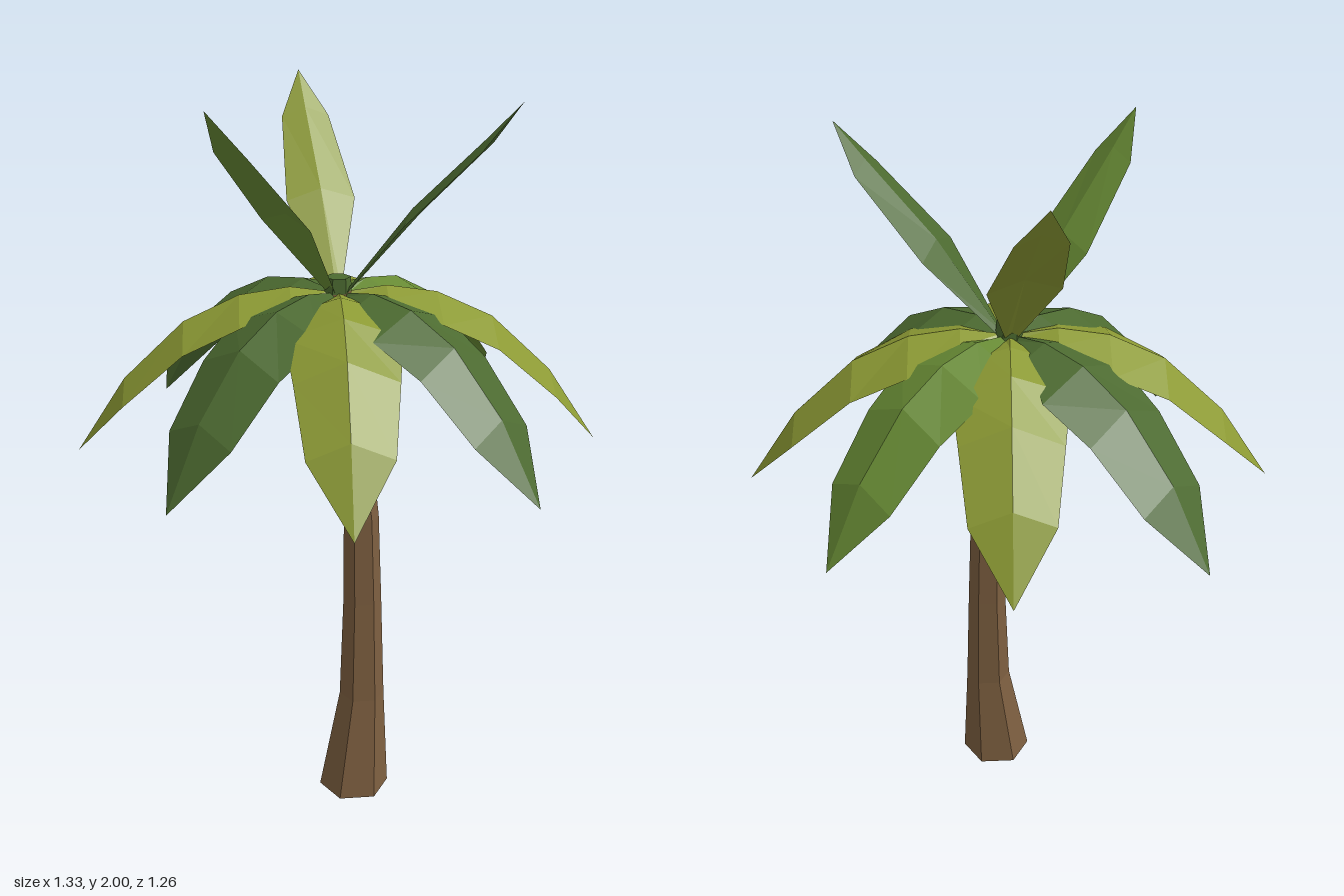
import * as THREE from 'three';

const YELLOW = 0x8c9a34, MID = 0x678a34, GREEN = 0x4c6a30;
const CROWN = { x: 0.01, z: 0.005 };

// Trunk sections from bottom to top: [y, centre x, centre z, radius]
const TRUNK = [
  [0, 0.1, 0.013, 0.1],
  [0.3, 0.102, -0.013, 0.064],
  [0.6, 0.093, -0.02, 0.054],
  [0.85, 0.083, -0.022, 0.049],
  [1.2, 0.05, -0.01, 0.041],
  [1.49, 0.01, 0.005, 0.036],
];

// Leaf stations: [fraction of reach, ridge y, edge y, half width]
const DROOPING = [
  [0.03, 1.485, 1.475, 0.012],
  [0.18, 1.5, 1.48, 0.065],
  [0.37, 1.48, 1.43, 0.15],
  [0.58, 1.41, 1.355, 0.133],
  [0.81, 1.255, 1.21, 0.11],
  [1, 1.05, 1.05, 0],
];
const UPRIGHT = [
  [0.05, 1.49, 1.48, 0.015],
  [0.42, 1.72, 1.69, 0.095],
  [0.82, 1.91, 1.885, 0.066],
  [1, 2, 2, 0],
];

// Leaf tips seen from above: [x, z, colour]
const DROOPING_TIPS = [
  [-0.13, -0.635, MID], [0.39, -0.6, YELLOW], [0.665, -0.14, GREEN], [0.55, 0.35, YELLOW],
  [0.15, 0.63, GREEN], [-0.37, 0.605, YELLOW], [-0.667, 0.16, GREEN], [-0.52, -0.33, YELLOW],
];
const UPRIGHT_TIPS = [[0.06, 0.43, MID], [0.39, -0.28, GREEN], [-0.42, -0.17, YELLOW]];

function material(color, side = THREE.FrontSide) {
  return new THREE.MeshStandardMaterial({ color, flatShading: true, side });
}

// Six-sided trunk: each ring of a cylinder is moved to its section
function makeTrunk() {
  const rows = TRUNK.length - 1;
  const geo = new THREE.CylinderGeometry(1, 1, rows, 6, rows, false, Math.PI / 6);
  const pos = geo.attributes.position;
  for (let i = 0; i < pos.count; i++) {
    const [y, cx, cz, r] = TRUNK[Math.round(pos.getY(i) + rows / 2)];
    pos.setXYZ(i, cx + pos.getX(i) * r, y, cz + pos.getZ(i) * r);
  }
  geo.computeVertexNormals();
  const trunk = new THREE.Mesh(geo, material(0x7d5f40));
  trunk.name = 'trunk';
  return trunk;
}

// Folded leaf: a raised ridge with an edge on either side, tapering to a point
function makeLeaf(name, stations, [x, z, color]) {
  const dx = x - CROWN.x, dz = z - CROWN.z;
  const reach = Math.hypot(dx, dz);
  const points = [], index = [];
  for (const [t, ridgeY, edgeY, w] of stations) {
    const r = t * reach;
    points.push(r, edgeY, -w, r, ridgeY, 0, r, edgeY, w);
  }
  for (let i = 0; i < stations.length - 1; i++) {
    for (let k = 0; k < 2; k++) {
      const a = i * 3 + k, b = a + 1, c = a + 3, d = a + 4;
      index.push(a, b, c);
      if (i < stations.length - 2) index.push(b, d, c);
      else if (k === 0) index.push(b, d, c);
    }
  }
  const geo = new THREE.BufferGeometry();
  geo.setAttribute('position', new THREE.Float32BufferAttribute(points, 3));
  geo.setIndex(index);
  geo.computeVertexNormals();
  const leaf = new THREE.Mesh(geo, material(color, THREE.DoubleSide));
  leaf.name = name;
  leaf.position.set(CROWN.x, 0, CROWN.z);
  leaf.rotation.y = Math.atan2(-dz, dx);
  return leaf;
}

export function createModel() {
  const model = new THREE.Group();
  model.name = 'palmTree';
  model.add(makeTrunk());

  // Small green bud where the leaves meet
  const bud = new THREE.Mesh(
    new THREE.CylinderGeometry(0.034, 0.038, 0.06, 6, 1, false, Math.PI / 6), material(GREEN));
  bud.name = 'bud';
  bud.position.set(CROWN.x, 1.495, CROWN.z);
  model.add(bud);

  const leaves = new THREE.Group();
  leaves.name = 'leaves';
  for (const tip of DROOPING_TIPS) leaves.add(makeLeaf('droopingLeaf', DROOPING, tip));
  for (const tip of UPRIGHT_TIPS) leaves.add(makeLeaf('uprightLeaf', UPRIGHT, tip));
  model.add(leaves);
  return model;
}
